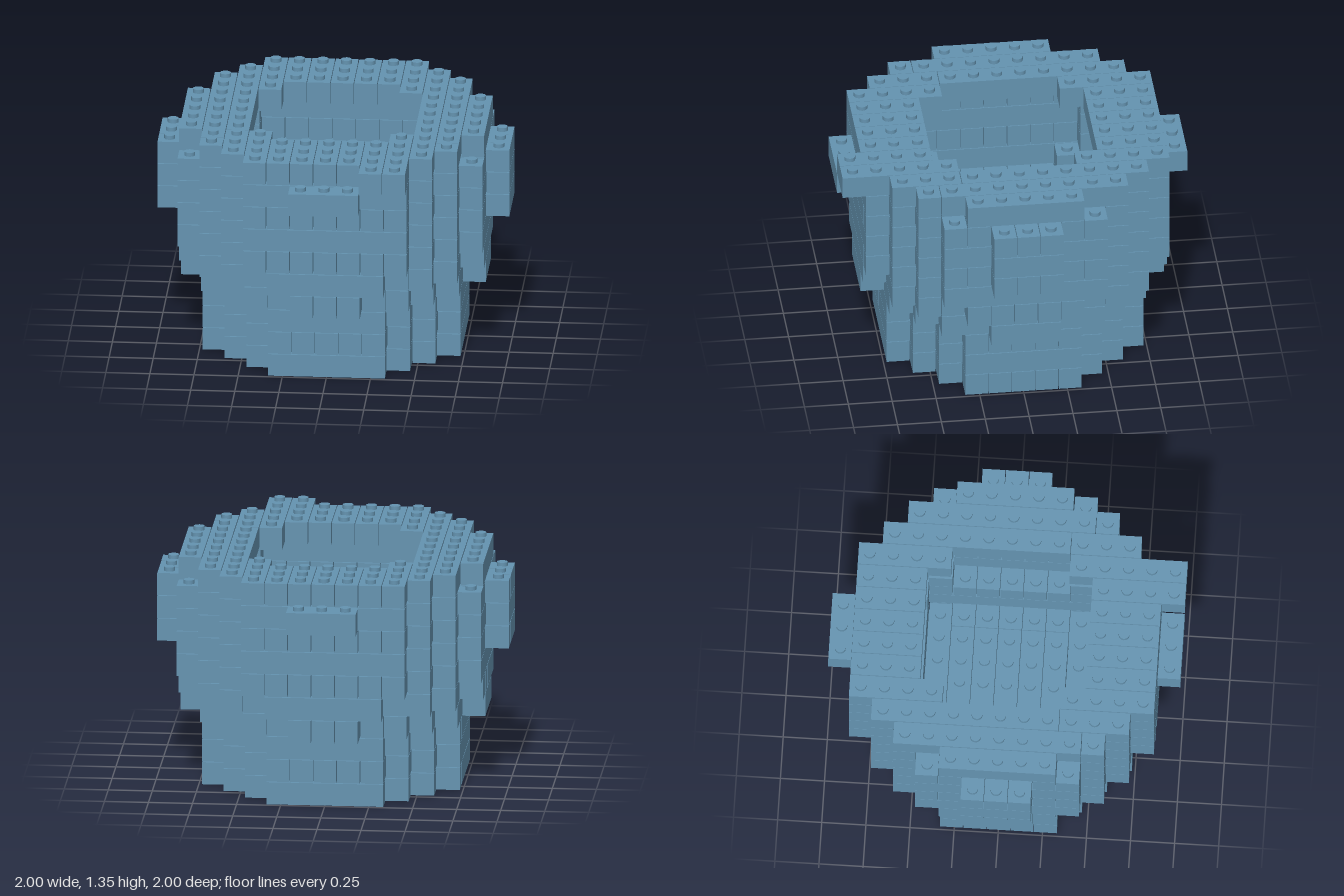
import * as THREE from 'three';
import { mergeGeometries } from 'three/addons/utils/BufferGeometryUtils.js';

const P = 2 / 15;      // stud pitch, also the brick height
const GAP = 0.004;     // joint between bricks
const R = 7;           // grid runs from -7 to 7

// Half-width of the outline for each row distance 0..7 (-1 = empty row)
const base = [5, 5, 5, 4, 3, 2, -1, -1];
const flare = [6, 6, 5, 5, 4, 3, 1, -1];
const mid = [6, 6, 6, 5, 5, 4, 2, -1];
const shoulder = [6, 6, 6, 6, 5, 4, 3, -1];
const belly = [7, 7, 6, 6, 5, 4, 3, -1];
const collar = [7, 7, 6, 6, 5, 4, 3, 1];
const rim = [6, 6, 6, 5, 5, 4, 3, -1];

// Half-width of the opening for each row distance
const solid = [];
const narrow = [3, 3, 3, 3];
const wider = [4, 4, 4, 3, 2];
const wide = [4, 4, 4, 4, 3];
const lip = [3, 3, 2 + 1, 2];

const courses = [
  [base, solid], [base, solid], [base, solid],
  [flare, narrow], [mid, narrow], [shoulder, wider],
  [belly, wide], [belly, wide], [collar, wide], [rim, lip],
];

function filled(n, i, k) {
  if (n >= courses.length || Math.abs(i) > R || Math.abs(k) > R) return false;
  // overhanging corner block on the rim
  if (n === 9 && k === 7) return i === 2 || i === 3;
  const [outer, inner] = courses[n];
  const a = Math.abs(i), b = Math.abs(k);
  return a <= outer[b] && !(a <= (inner[b] ?? -1));
}

// One brick covering cells a..b of a row; odd courses run along z
function brick(n, row, a, b, alongZ) {
  const len = (b - a + 1) * P - GAP, w = P - GAP;
  const c = ((a + b) / 2) * P, r = row * P;
  const g = new THREE.BoxGeometry(alongZ ? w : len, P - GAP, alongZ ? len : w);
  return g.translate(alongZ ? r : c, (n + 0.5) * P, alongZ ? c : r);
}

// Bricks of a course, cut into lengths of at most eight studs
function courseBricks(n) {
  const alongZ = n % 2 === 1, list = [];
  for (let row = -R; row <= R; row++) {
    let start = null;
    for (let c = -R; c <= R + 1; c++) {
      const on = alongZ ? filled(n, row, c) : filled(n, c, row);
      if (start !== null && (!on || c - start === 8)) {
        list.push(brick(n, row, start, c - 1, alongZ));
        start = null;
      }
      if (on && start === null) start = c;
    }
  }
  return list;
}

// Studs on every cell with nothing above it
function courseStuds(n) {
  const list = [];
  for (let i = -R; i <= R; i++) {
    for (let k = -R; k <= R; k++) {
      if (!filled(n, i, k) || filled(n + 1, i, k)) continue;
      const g = new THREE.CylinderGeometry(0.031, 0.031, 0.024, 16);
      list.push(g.translate(i * P, (n + 1) * P + 0.009, k * P));
    }
  }
  return list;
}

export function createModel() {
  const group = new THREE.Group();
  group.name = 'brickPot';
  const blue = new THREE.MeshStandardMaterial({ color: 0x6493b0 });
  blue.name = 'dustyBlue';

  const add = (name, list) => {
    if (!list.length) return;
    const mesh = new THREE.Mesh(mergeGeometries(list), blue);
    mesh.name = name;
    group.add(mesh);
  };
  courses.forEach((_, n) => {
    add(`brickCourse${n + 1}`, courseBricks(n));
    add(`studs${n + 1}`, courseStuds(n));
  });
  return group;
}
